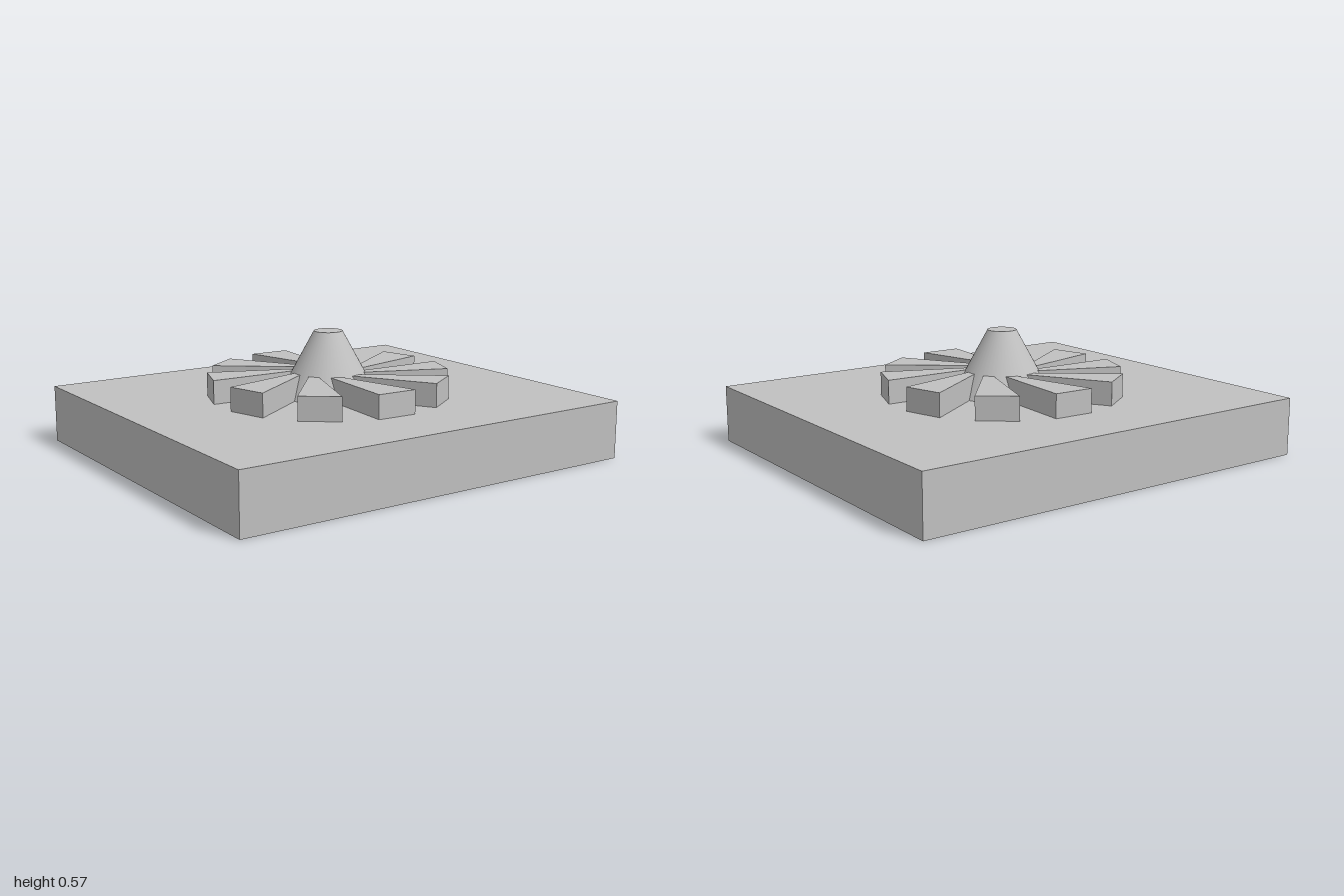
import * as THREE from 'three';

export function createModel() {
  const model = new THREE.Group();
  const grey = new THREE.MeshStandardMaterial({ color: 0xc0c0c0 });
  grey.name = 'plain grey';

  const add = (geometry, name) => {
    const mesh = new THREE.Mesh(geometry, grey);
    mesh.name = name;
    model.add(mesh);
    return mesh;
  };

  // Rectangular slab
  const baseHeight = 0.27;
  add(new THREE.BoxGeometry(2, baseHeight, 1.76), 'base').position.y = baseHeight / 2;

  // Truncated cone hub
  const hubHeight = 0.3;
  add(new THREE.CylinderGeometry(0.067, 0.23, hubHeight, 48), 'hub').position.y =
    baseHeight + hubHeight / 2;

  // Ten skewed, tapering blades; inner ends are buried in the hub
  const profile = new THREE.Shape([
    new THREE.Vector2(0.042, 0.13),
    new THREE.Vector2(0.079, 0.13),
    new THREE.Vector2(0.096, 0.557),
    new THREE.Vector2(-0.096, 0.557),
  ]);
  const bladeGeometry = new THREE.ExtrudeGeometry(profile, { depth: 0.11, bevelEnabled: false });
  bladeGeometry.rotateX(-Math.PI / 2);

  const bladeCount = 10;
  const offset = THREE.MathUtils.degToRad(2);
  for (let i = 0; i < bladeCount; i++) {
    const blade = add(bladeGeometry, `blade${i + 1}`);
    blade.position.y = baseHeight;
    blade.rotation.y = -(offset + (i / bladeCount) * Math.PI * 2);
  }

  return model;
}
